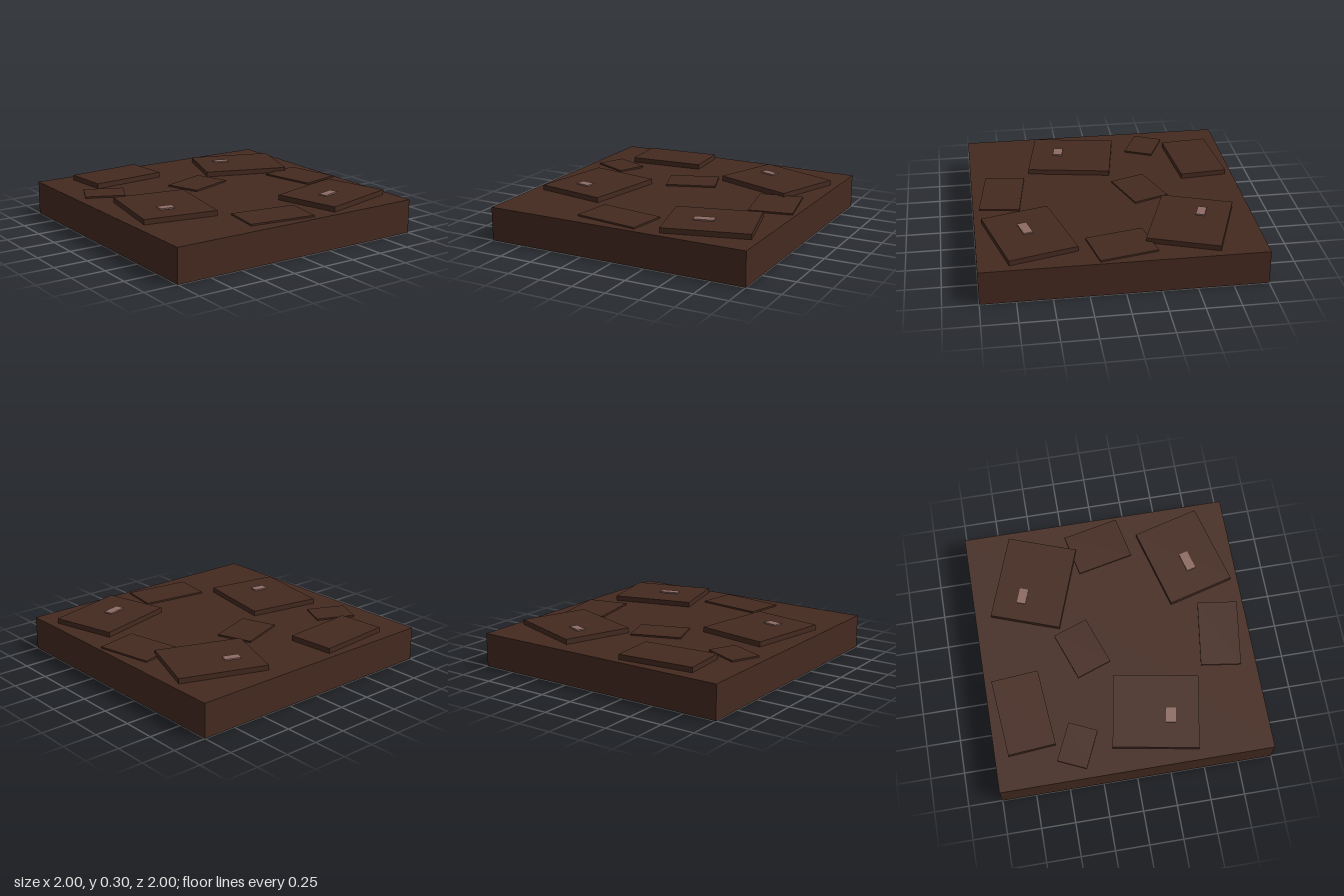
import * as THREE from 'three';

export function createModel() {
  const model = new THREE.Group();
  const soil = new THREE.MeshStandardMaterial({ color: 0x452a20 });
  soil.name = 'dark brown';
  const chip = new THREE.MeshStandardMaterial({ color: 0x8d6b63 });
  chip.name = 'pale brown';

  // Box resting on height y, turned about the vertical axis
  function slab(name, material, [x, z, width, depth, turn], y, height) {
    const mesh = new THREE.Mesh(new THREE.BoxGeometry(width, height, depth), material);
    mesh.name = name;
    mesh.position.set(x, y + height / 2, z);
    mesh.rotation.y = turn;
    model.add(mesh);
  }

  // Square ground block
  slab('groundBlock', soil, [0, 0, 2, 2, 0], 0, 0.25);

  // Thick slabs: x, z, width, depth, turn
  [
    [-0.45, -0.75, 0.572, 0.348, 0.082],
    [0.55, -0.527, 0.643, 0.522, -0.348],
    [-0.6, 0.2, 0.544, 0.623, -0.175],
    [0.575, 0.625, 0.622, 0.498, 0.26],
  ].forEach((s, i) => slab(`thickSlab${i + 1}`, soil, s, 0.25, 0.038));

  // Thin slabs
  [
    [-0.752, -0.4, 0.294, 0.22, -0.431],
    [-0.025, -0.25, 0.375, 0.268, 0.342],
    [0.775, 0, 0.32, 0.422, 0.209],
    [-0.076, 0.775, 0.495, 0.295, -0.14],
  ].forEach((s, i) => slab(`thinSlab${i + 1}`, soil, s, 0.25, 0.012));

  // Small pale chips on the thick slabs
  [
    [0.449, -0.626, 0.117, 0.064, -0.348],
    [-0.65, 0.3, 0.108, 0.072, -0.175],
    [0.525, 0.647, 0.146, 0.068, 0.26],
  ].forEach((s, i) => slab(`paleChip${i + 1}`, chip, s, 0.288, 0.0095));

  return model;
}
